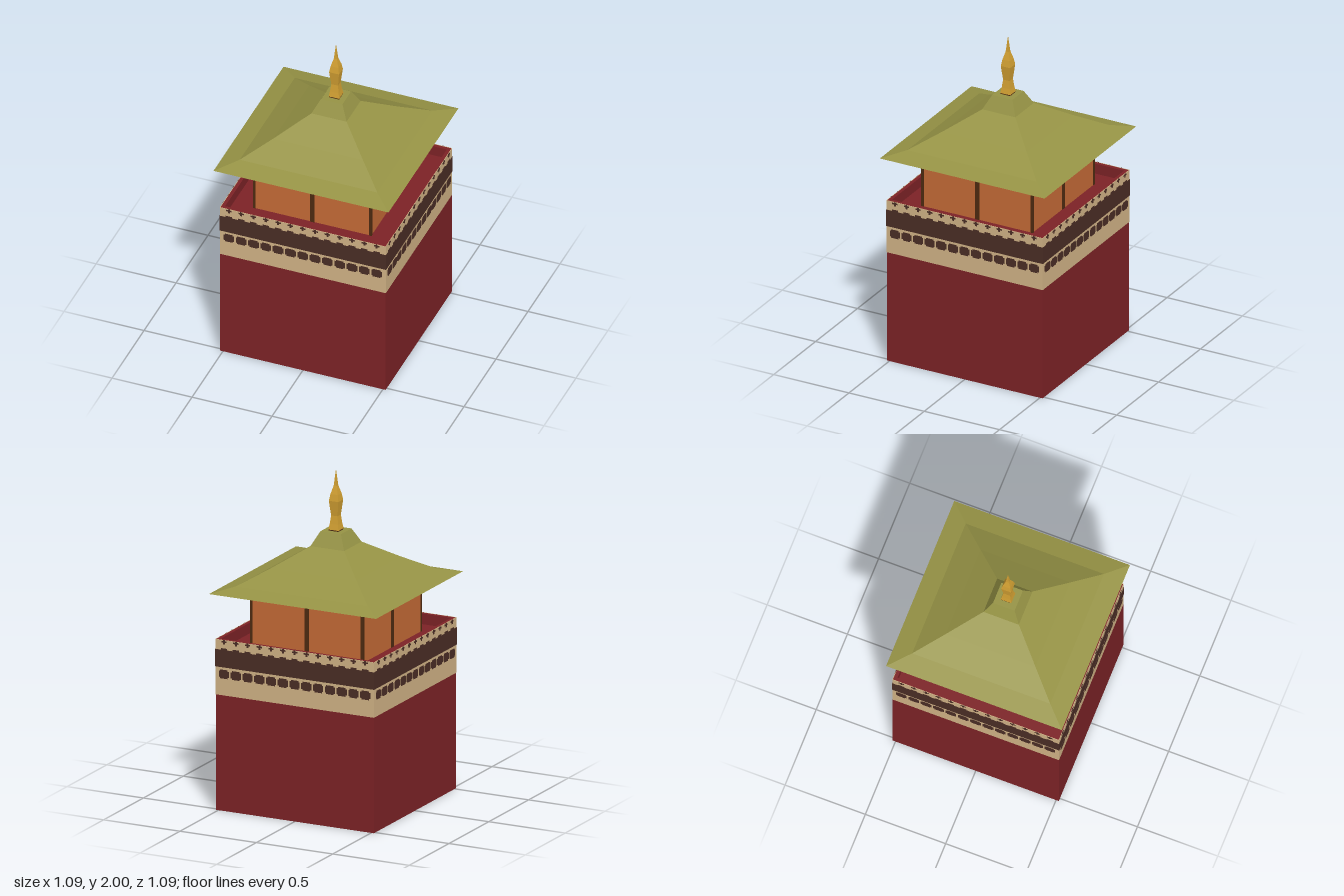
import * as THREE from 'three';

const paint = (name, color) => {
  const m = new THREE.MeshStandardMaterial({ color });
  m.name = name;
  return m;
};

export function createModel() {
  const red = paint('wall red', 0x7c2226);
  const tan = paint('frieze tan', 0xd0b285);
  const dark = paint('frieze brown', 0x4a2d25);
  const orange = paint('pavilion orange', 0xc46a36);
  const post = paint('post brown', 0x4d2a10);
  const green = paint('roof green', 0x969345);
  const gold = paint('finial gold', 0xd2a032);

  const model = new THREE.Group();
  model.name = 'temple';

  const add = (name, geometry, material, parent = model) => {
    const mesh = new THREE.Mesh(geometry, material);
    mesh.name = name;
    parent.add(mesh);
    return mesh;
  };

  // Box given by its width, depth, centre and vertical extent
  const block = (name, w, d, y0, y1, material, x = 0, z = 0, parent = model) => {
    const mesh = add(name, new THREE.BoxGeometry(w, y1 - y0, d), material, parent);
    mesh.position.set(x, (y0 + y1) / 2, z);
    return mesh;
  };

  // Square outline traced at a half-width
  const outline = (path, h) => {
    path.moveTo(-h, -h);
    path.lineTo(h, -h);
    path.lineTo(h, h);
    path.lineTo(-h, h);
    path.closePath();
    return path;
  };

  // Hollow square band running round the building
  const ring = (name, outer, inner, y0, y1, material) => {
    const shape = outline(new THREE.Shape(), outer);
    shape.holes.push(outline(new THREE.Path(), inner));
    const g = new THREE.ExtrudeGeometry(shape, { depth: y1 - y0, bevelEnabled: false });
    g.rotateX(-Math.PI / 2);
    g.translate(0, y0, 0);
    return add(name, g, material);
  };

  // Four-sided solid from [half-width, height] pairs, with crisp faces
  const pyramid = (name, profile, material) => {
    const points = profile.map(([h, y]) => new THREE.Vector2(h * Math.SQRT2, y));
    let g = new THREE.LatheGeometry(points, 4, Math.PI / 4);
    g = g.toNonIndexed();
    g.computeVertexNormals();
    return add(name, g, material);
  };

  // Four turned copies of one side's details
  const fourSides = (name, build) => {
    for (let i = 0; i < 4; i++) {
      const side = new THREE.Group();
      side.name = name;
      side.rotation.y = i * Math.PI / 2;
      build(side);
      model.add(side);
    }
  };

  // Main block with a sunken terrace behind the parapet
  block('mainBlock', 1.034, 1.034, 0, 0.97, red);
  ring('parapet', 0.517, 0.495, 0.97, 1.034, red);

  // Painted frieze
  ring('friezeBase', 0.519, 0.516, 0.70, 1.035, tan);
  ring('friezeBand', 0.521, 0.516, 0.87, 0.975, dark);
  fourSides('friezeDetails', (side) => {
    const step = 0.077;
    for (let i = -6; i <= 6; i++) {
      const x = i * step;
      // Dentils with clipped corners, drawn as two crossed plates
      block('dentil', 0.066, 0.004, 0.81, 0.847, dark, x, 0.519, side);
      block('dentilCore', 0.048, 0.004, 0.802, 0.855, dark, x, 0.5192, side);
      // Teeth rising from the dark band
      block('tooth', 0.04, 0.004, 0.97, 0.985, dark, x, 0.519, side);
      // Small crosses under the parapet edge
      block('crossBar', 0.034, 0.004, 1.02, 1.029, dark, x, 0.519, side);
      block('crossStem', 0.012, 0.004, 1.009, 1.035, dark, x, 0.5192, side);
    }
  });

  // Upper pavilion
  block('pavilion', 0.735, 0.735, 0.96, 1.315, orange);
  fourSides('pavilionPosts', (side) => {
    block('middlePost', 0.028, 0.008, 0.965, 1.312, post, 0, 0.367, side);
    block('cornerPost', 0.016, 0.016, 0.965, 1.312, post, 0.363, 0.363, side);
  });

  // Flared roof, closed underneath
  pyramid('roof', [
    [0, 1.31], [0.547, 1.31], [0.43, 1.342], [0.28, 1.433],
    [0.11, 1.545], [0.067, 1.63], [0, 1.63],
  ], green);

  // Spire on a small plinth
  block('finialPlinth', 0.064, 0.064, 1.628, 1.638, post);
  pyramid('finial', [
    [0.033, 1.636], [0.027, 1.67], [0.021, 1.72], [0.031, 1.81],
    [0.024, 1.85], [0.01, 1.9], [0.005, 1.95], [0, 2],
  ], gold);

  return model;
}
